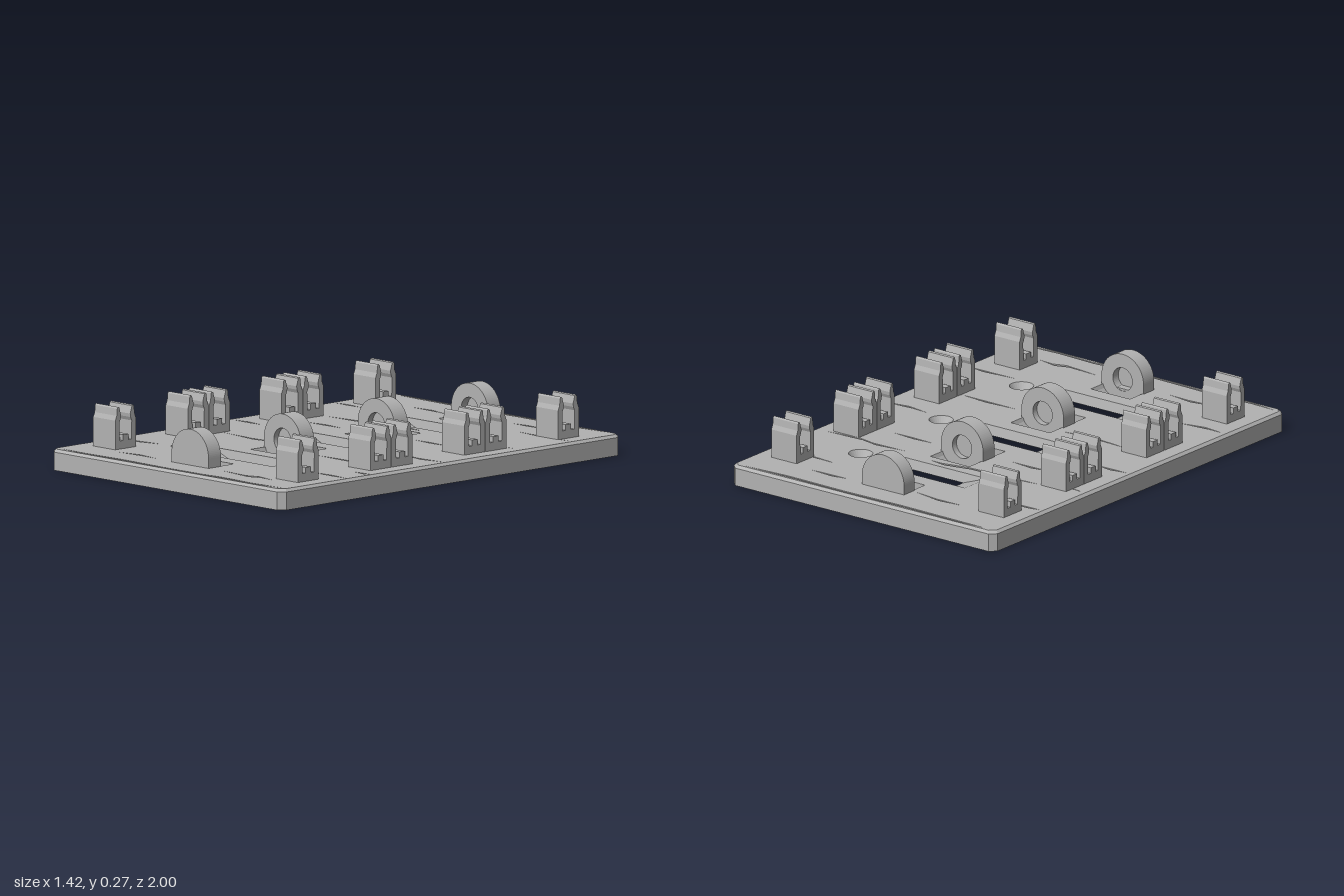
import * as THREE from 'three';

const CEIL = 0.048, SKIN = 0.078, TOP = 0.09;
const BAYS = [-0.55, 0, 0.55];
const grey = new THREE.MeshStandardMaterial({ color: 0xb2b2b2 });
grey.name = 'grey';

// Plan points (x, z) drawn so that extrusion runs up y
const plan = pts => pts.map(([x, z]) => new THREE.Vector2(x, -z));
const rect = (hx, z0, z1) => [[hx, z0], [hx, z1], [-hx, z1], [-hx, z0]];
const outline = (hx, hz, c) => [
  [hx - c, hz], [hx, hz - c], [hx, c - hz], [hx - c, -hz],
  [c - hx, -hz], [-hx, c - hz], [-hx, hz - c], [c - hx, hz]];
const circle = (cx, cz, r, n = 28) => Array.from({ length: n }, (_, i) => {
  const a = i / n * Math.PI * 2;
  return [cx + r * Math.cos(a), cz + r * Math.sin(a)];
});

function slab(pts, holes, y0, y1) {
  const shape = new THREE.Shape(plan(pts));
  holes.forEach(h => shape.holes.push(new THREE.Path(plan(h))));
  const g = new THREE.ExtrudeGeometry(shape, { depth: y1 - y0, bevelEnabled: false });
  return g.rotateX(-Math.PI / 2).translate(0, y0, 0);
}

// Flat-faced skin through closed rings of [x, y, z]
function loft(rings) {
  const pos = [];
  for (let r = 0; r + 1 < rings.length; r++) {
    const A = rings[r], B = rings[r + 1];
    A.forEach((a, i) => {
      const j = (i + 1) % A.length;
      pos.push(...a, ...A[j], ...B[j], ...a, ...B[j], ...B[i]);
    });
  }
  const g = new THREE.BufferGeometry();
  g.setAttribute('position', new THREE.Float32BufferAttribute(pos, 3));
  g.computeVertexNormals();
  return g;
}
const lift = (pts, y) => pts.map(([x, z]) => [x, y, z]);

// Spines of the wood-grain cracks
const CRACKS = [
  [[-.39, -.81], [-.27, -.82], [-.13, -.795]],
  [[.2, -.84], [.28, -.852], [.4, -.845]],
  [[-.69, -.65], [-.62, -.66], [-.52, -.652]],
  [[.36, -.717], [.5, -.712], [.69, -.715]],
  [[-.48, -.395], [-.3, -.415], [-.13, -.42], [-.01, -.447], [.07, -.437]],
  [[.23, -.41], [.38, -.424], [.46, -.408], [.65, -.418]],
  [[-.69, -.36], [-.6, -.352], [-.5, -.36]],
  [[-.43, -.235], [-.32, -.25], [-.21, -.24]],
  [[.2, -.26], [.3, -.265], [.41, -.258]],
  [[-.69, -.05], [-.6, -.062], [-.5, -.052]],
  [[.45, .03], [.55, .04], [.69, .03]],
  [[-.49, .195], [-.3, .208], [-.13, .196]],
  [[.19, .3], [.35, .292], [.49, .303]],
  [[.6, .47], [.65, .464], [.69, .462]],
  [[-.69, .6], [-.6, .603], [-.45, .585]],
  [[.44, .605], [.6, .593], [.69, .603]],
  [[-.44, .85], [-.33, .83], [-.21, .845]],
  [[.18, .85], [.35, .862], [.41, .84], [.51, .858]],
  [[-.68, .965], [-.55, .973], [-.3, .965], [0, .974], [.2, .972], [.3, .963], [.5, .972], [.68, .962]],
  [[-.65, -.975], [-.5, -.982], [-.2, -.976], [.1, -.982], [.4, -.976], [.65, -.98]],
];
// Widen a spine into a thin sliver with pointed ends
function sliver(spine) {
  const back = spine.slice(1, -1).reverse().map(([x, z]) => [x + 0.02, z + 0.01]);
  return [...spine, ...back];
}

// Half-round lug outline, in x and y
function lugShape(holed) {
  const s = new THREE.Shape();
  s.moveTo(-0.113, CEIL);
  s.lineTo(0.113, CEIL);
  s.lineTo(0.113, 0.132);
  s.absarc(0, 0.132, 0.113, 0, Math.PI, false);
  s.closePath();
  if (holed) s.holes.push(new THREE.Path().absarc(0, 0.132, 0.052, 0, Math.PI * 2, true));
  return s;
}
const lugLayer = (holed, z0, z1) => new THREE.ExtrudeGeometry(lugShape(holed),
  { depth: z1 - z0, bevelEnabled: false, curveSegments: 24 }).translate(0, 0, z0);

// Two-pronged clip, profile in z and y, extruded across x
function clipGeometry() {
  const half = [
    [0.0605, TOP - 0.005], [0.0605, 0.215], [0.052, 0.235], [0.049, 0.265], [0.044, 0.272],
    [0.037, 0.268], [0.027, 0.235], [0.029, 0.22], [0.036, 0.205], [0.034, 0.125],
    [0.016, 0.125], [0.016, 0.15]];
  const mirrored = half.map(([u, y]) => [-u, y]).reverse();
  const s = new THREE.Shape([...half, ...mirrored].map(p => new THREE.Vector2(...p)));
  return new THREE.ExtrudeGeometry(s, { depth: 0.135, bevelEnabled: false })
    .translate(0, 0, -0.0675).rotateY(Math.PI / 2);
}

export function createModel() {
  const model = new THREE.Group();
  const add = (name, geometry, x = 0, y = 0, z = 0) => {
    const m = new THREE.Mesh(geometry, grey);
    m.name = name;
    m.position.set(x, y, z);
    model.add(m);
    return m;
  };

  // Base plate: pocketed lower layer, pierced middle layer, cracked top skin
  const recesses = [[-0.785, -0.7], [-0.398, -0.152], [0.152, 0.398], [0.7, 0.785]];
  const openings = recesses.map(([a, b]) => rect(0.105, a, b));
  BAYS.forEach(z => {
    openings.push(rect(0.26, z - 0.075, z + 0.075));
    [-0.36, 0.36].forEach(x => openings.push(circle(x, z, 0.052)));
  });
  const full = outline(0.71, 1, 0.028), inset = outline(0.698, 0.988, 0.024);
  add('plateUnderside', slab(full, BAYS.map(z => rect(0.625, z - 0.215, z + 0.215)), 0, CEIL));
  add('plateCore', slab(full, openings, CEIL, SKIN));
  add('plateTop', slab(inset, [...openings, ...CRACKS.map(sliver)], SKIN, TOP));
  add('plateChamfer', loft([lift(full, SKIN), lift(inset, TOP)]));

  // Sloped window surrounds and countersunk screw holes
  const quad = (hx, hz, y) => [[hx, y, hz], [hx, y, -hz], [-hx, y, -hz], [-hx, y, hz]];
  const surround = loft([quad(0.26, 0.075, TOP), quad(0.14, 0.065, CEIL), quad(0.26, 0.075, CEIL)]);
  const sink = new THREE.LatheGeometry(
    [[0.052, TOP], [0.028, CEIL], [0.052, CEIL]].map(p => new THREE.Vector2(...p)), 28).toNonIndexed();
  sink.computeVertexNormals();
  BAYS.forEach(z => {
    add('windowSurround', surround, 0, 0, z);
    [-0.36, 0.36].forEach(x => add('screwHole', sink, x, 0, z));
  });

  // Curved cheeks of the recesses beside the lugs
  const arc = [[0.105, TOP], [0.098, 0.074], [0.086, 0.06], [0.066, CEIL]];
  recesses.forEach(([a, b]) => [1, -1].forEach(side => {
    const s = new THREE.Shape([...arc, [0.105, CEIL]].map(([x, y]) => new THREE.Vector2(x * side, y)));
    add('recessCheek', new THREE.ExtrudeGeometry(s, { depth: b - a, bevelEnabled: false }), 0, 0, a);
  }));

  // Lugs with blind sockets: end lugs open inward, middle lugs open both ways
  [1, -1].forEach(side => {
    const place = (holed, z0, z1) => add(holed ? 'lugSocket' : 'lugWall',
      lugLayer(holed, Math.min(z0 * side, z1 * side), Math.max(z0 * side, z1 * side)));
    place(true, 0.783, 0.82);
    place(false, 0.82, 0.855);
    place(true, 0.236, 0.264);
    place(false, 0.264, 0.286);
    place(true, 0.286, 0.314);
  });

  // Clips at both ends of every bay
  const clip = clipGeometry();
  BAYS.forEach(z => [-0.2125, 0.2125].forEach(dz => [-0.558, 0.558].forEach(x =>
    add(x > 0 ? 'leftClip' : 'rightClip', clip, x, 0, z + dz))));

  return model;
}
